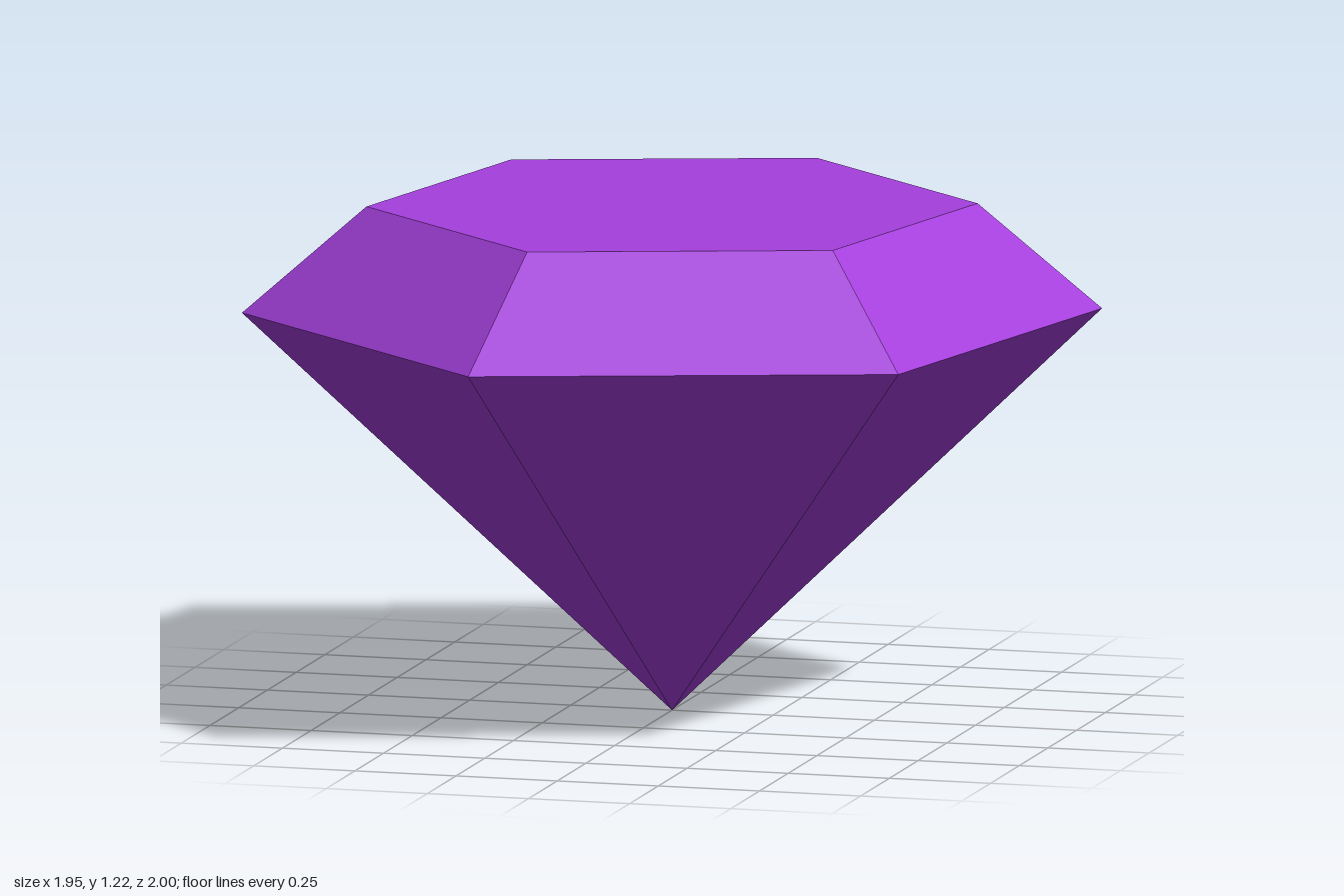
import * as THREE from 'three';

const SIDES = 6;
const TURN = -0.217; // angle of the first corner from +z
const GIRDLE_R = 1.023, TABLE_R = 0.727;
const GIRDLE_Y = 0.965, TOP_Y = 1.22;

export function createModel() {
  const gem = new THREE.Group();
  gem.name = 'gem';

  const purple = new THREE.MeshStandardMaterial({ color: 0xa540dd, flatShading: true });
  purple.name = 'purple';

  // one open six-sided ring of facets between two heights
  const addFacets = (name, rTop, rBottom, yBottom, yTop) => {
    const geo = new THREE.CylinderGeometry(rTop, rBottom, yTop - yBottom, SIDES, 1, true, TURN);
    geo.translate(0, (yBottom + yTop) / 2, 0);
    const mesh = new THREE.Mesh(geo, purple);
    mesh.name = name;
    gem.add(mesh);
  };

  // pointed lower half and bevelled upper half
  addFacets('pavilion', GIRDLE_R, 0, 0, GIRDLE_Y);
  addFacets('crown', TABLE_R, GIRDLE_R, GIRDLE_Y, TOP_Y);

  // flat top face
  const tableGeo = new THREE.CircleGeometry(TABLE_R, SIDES, TURN - Math.PI / 2);
  tableGeo.rotateX(-Math.PI / 2);
  tableGeo.translate(0, TOP_Y, 0);
  const table = new THREE.Mesh(tableGeo, purple);
  table.name = 'table';
  gem.add(table);

  return gem;
}
